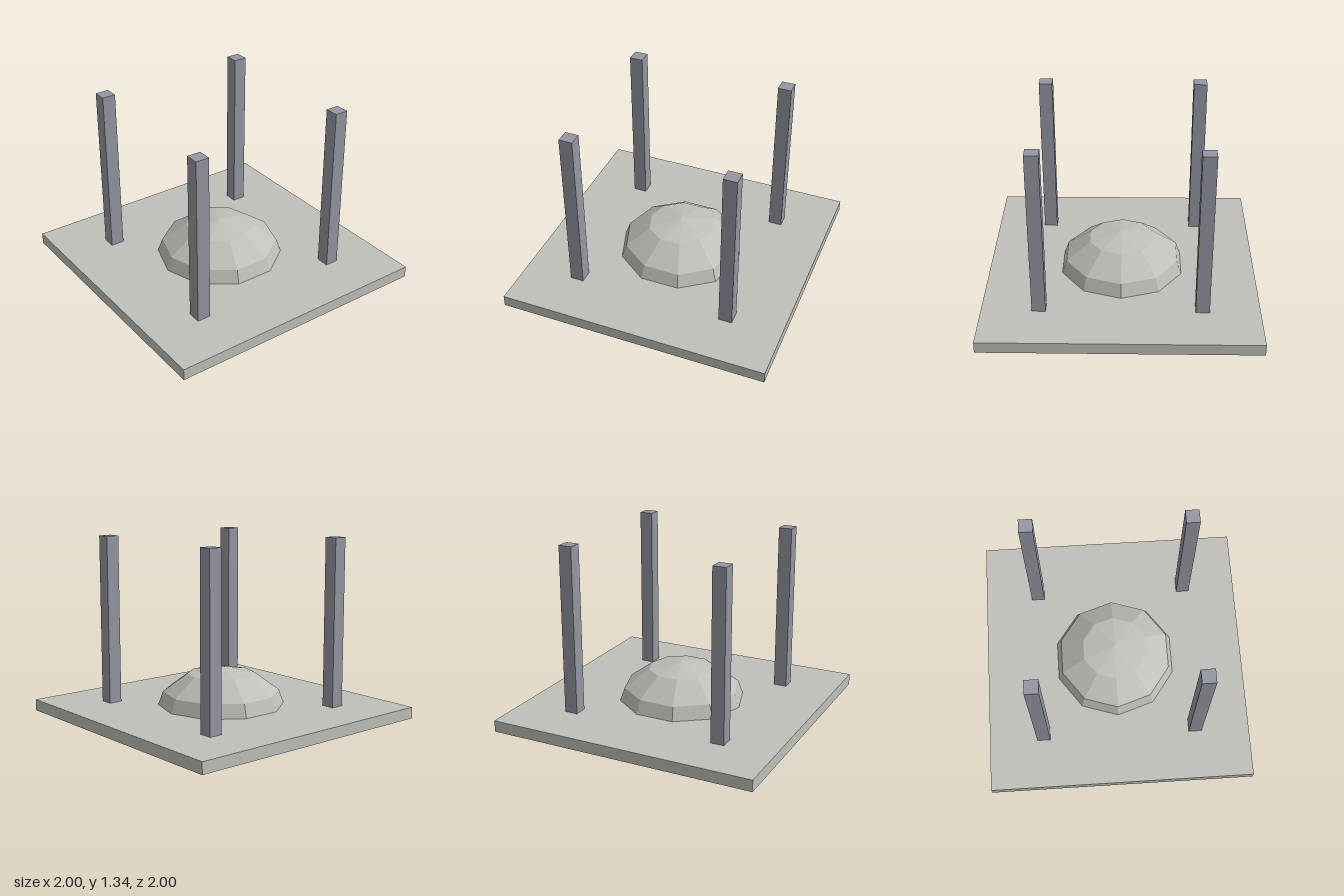
import * as THREE from 'three';

export function createModel() {
  const model = new THREE.Group();
  const stone = new THREE.MeshStandardMaterial({ color: 0xc0c0ba, flatShading: true });
  stone.name = 'pale stone';
  const steel = new THREE.MeshStandardMaterial({ color: 0x9497a2, flatShading: true });
  steel.name = 'blue grey';

  const add = (name, geometry, material, x, y, z) => {
    const mesh = new THREE.Mesh(geometry, material);
    mesh.name = name;
    mesh.position.set(x, y, z);
    model.add(mesh);
  };

  // Square floor slab
  const slab = 0.085;
  add('basePlate', new THREE.BoxGeometry(2, slab, 2), stone, 0, slab / 2, 0);

  // Low ten-sided dome, a corner pointing to the front
  const profile = [[0.47, 0], [0.434, 0.1], [0.25, 0.235], [0, 0.285]]
    .map(([r, y]) => new THREE.Vector2(r, y));
  add('dome', new THREE.LatheGeometry(profile, 10), stone, 0, slab, 0);

  // Four square posts
  const height = 1.25;
  const post = new THREE.BoxGeometry(0.1, height, 0.1);
  for (const [xName, x] of [['Left', 0.585], ['Right', -0.585]]) {
    for (const [zName, z] of [['front', 0.585], ['back', -0.585]]) {
      add(`${zName}${xName}Post`, post, steel, x, slab + height / 2, z);
    }
  }
  return model;
}
